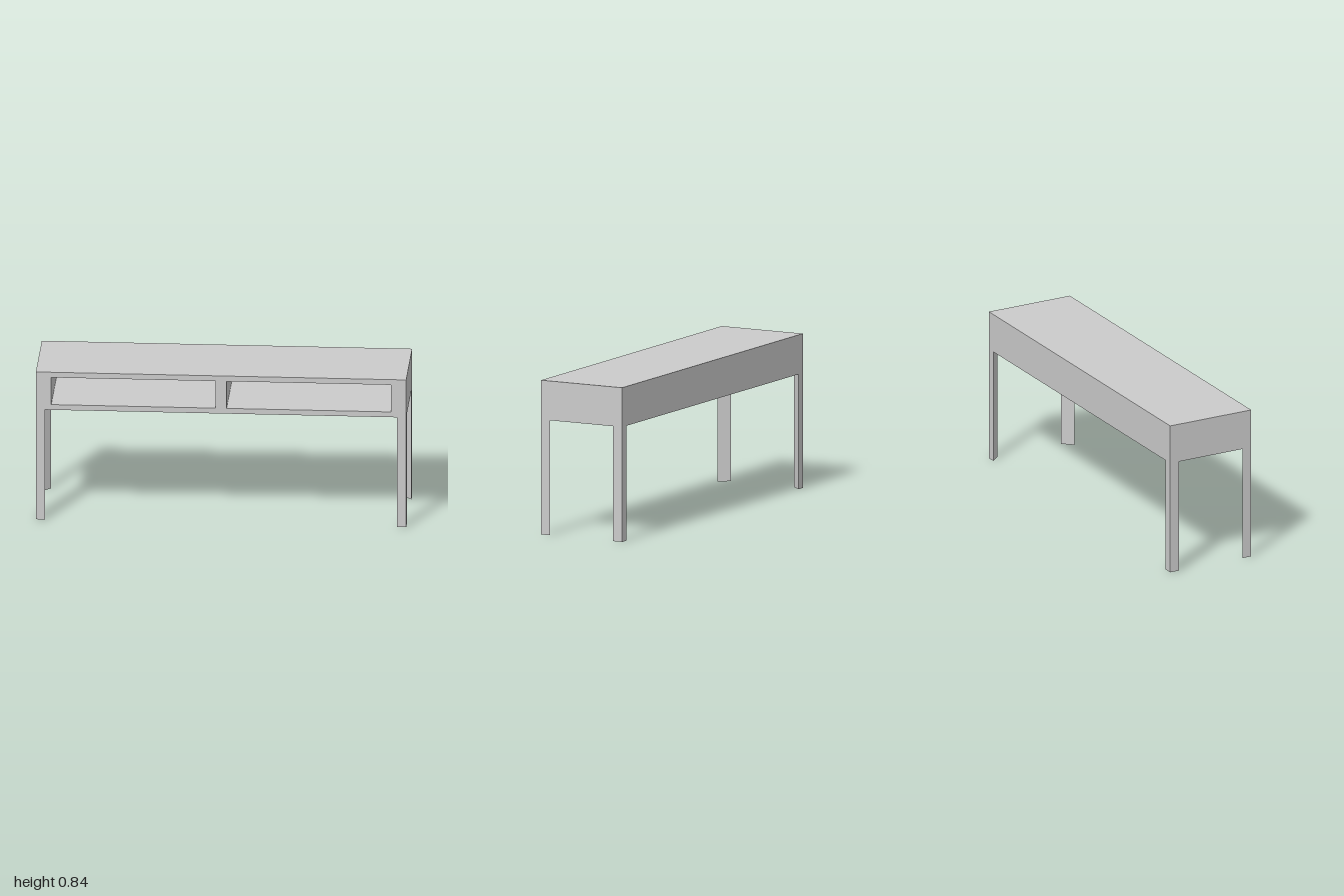
import * as THREE from 'three';

const W = 1, D = 0.25;              // half width, half depth
const BOTTOM = 0.628, TOP = 0.843;  // cabinet heights
const BACK = 0.03;                  // back panel thickness
const material = new THREE.MeshStandardMaterial({ color: 0xcccccc, flatShading: true });

function rectangle(target, x0, y0, x1, y1) {
  target.moveTo(x0, y0);
  target.lineTo(x1, y0);
  target.lineTo(x1, y1);
  target.lineTo(x0, y1);
  target.closePath();
  return target;
}

function addMesh(group, name, geometry) {
  const mesh = new THREE.Mesh(geometry, material);
  mesh.name = name;
  group.add(mesh);
  return mesh;
}

// Three-sided hollow leg, right angle at the outer corner, open at the foot
function legGeometry(sx, sz) {
  const corners = [[sx * W, sz * D], [sx * (W - 0.05), sz * D], [sx * W, sz * (D - 0.055)]];
  if (sx * sz < 0) corners.reverse();
  const points = [];
  for (let i = 0; i < 3; i++) {
    const [ax, az] = corners[i], [bx, bz] = corners[(i + 1) % 3];
    points.push(bx, 0, bz, ax, 0, az, ax, BOTTOM, az);
    points.push(bx, 0, bz, ax, BOTTOM, az, bx, BOTTOM, bz);
  }
  const geometry = new THREE.BufferGeometry();
  geometry.setAttribute('position', new THREE.Float32BufferAttribute(points, 3));
  geometry.computeVertexNormals();
  return geometry;
}

export function createModel() {
  const table = new THREE.Group();
  table.name = 'consoleTable';

  // Cabinet with two open compartments
  const outline = rectangle(new THREE.Shape(), -W, BOTTOM, W, TOP);
  for (const [x0, x1] of [[-0.917, -0.03], [0.03, 0.917]]) {
    outline.holes.push(rectangle(new THREE.Path(), x0, 0.658, x1, 0.813));
  }
  const cabinet = new THREE.ExtrudeGeometry(outline, { depth: 2 * D - BACK, bevelEnabled: false });
  cabinet.translate(0, 0, -D + BACK);
  addMesh(table, 'cabinet', cabinet);

  // Back panel closing the compartments
  const panel = addMesh(table, 'backPanel', new THREE.BoxGeometry(2 * W, TOP - BOTTOM, BACK));
  panel.position.set(0, (TOP + BOTTOM) / 2, -D + BACK / 2);

  // Corner legs
  for (const [sx, side] of [[1, 'Left'], [-1, 'Right']]) {
    for (const [sz, end] of [[1, 'front'], [-1, 'back']]) {
      addMesh(table, `${end}${side}Leg`, legGeometry(sx, sz));
    }
  }
  return table;
}
